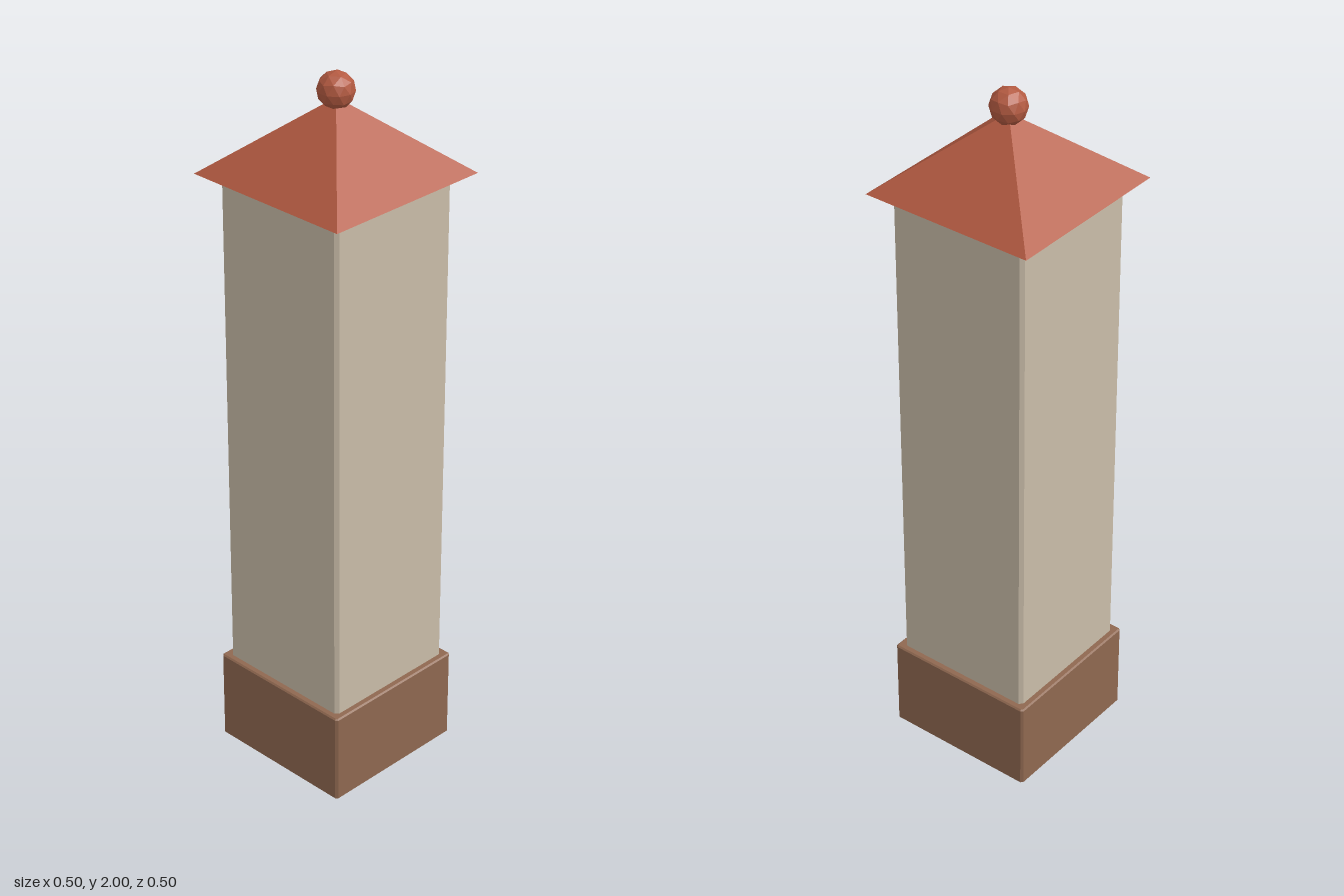
import * as THREE from 'three';

const mat = (name, color) => new THREE.MeshStandardMaterial({ name, color, flatShading: true });

// Square block with small chamfers on every edge, from y0 to y1
function chamferedBlock(half, y0, y1, c) {
  const h = half - c, k = h - c;
  const shape = new THREE.Shape([
    [h, -k], [h, k], [k, h], [-k, h], [-h, k], [-h, -k], [-k, -h], [k, -h],
  ].map(([x, y]) => new THREE.Vector2(x, y)));
  const geo = new THREE.ExtrudeGeometry(shape, {
    depth: y1 - y0 - 2 * c, bevelEnabled: true,
    bevelThickness: c, bevelSize: c, bevelSegments: 1,
  });
  geo.rotateX(-Math.PI / 2);
  geo.translate(0, y0 + c, 0);
  return geo;
}

export function createModel() {
  const model = new THREE.Group();
  model.name = 'pillar';

  const stone = mat('pale stone', 0xcabda9);
  const brown = mat('brown plinth', 0x8f6850);
  const tile = mat('terracotta', 0xb35a41);

  const add = (name, geo, material) => {
    const mesh = new THREE.Mesh(geo, material);
    mesh.name = name;
    model.add(mesh);
    return mesh;
  };

  // Shaft runs through the plinth and shows on the underside
  add('shaft', chamferedBlock(0.207, 0, 1.735, 0.006), stone);
  add('plinth', chamferedBlock(0.225, 0.003, 0.27, 0.004), brown);

  // Four-sided pyramid roof with overhanging eaves
  const roof = new THREE.ConeGeometry(0.252 * Math.SQRT2, 0.205, 4);
  roof.rotateY(Math.PI / 4);
  add('roof', roof, tile).position.y = 1.725 + 0.205 / 2;

  // Faceted ball with one corner pointing straight up
  const ball = new THREE.IcosahedronGeometry(0.05, 1);
  ball.rotateX(Math.atan(2 / (1 + Math.sqrt(5))) - Math.PI / 2);
  add('finial', ball, tile).position.y = 1.95;

  return model;
}
